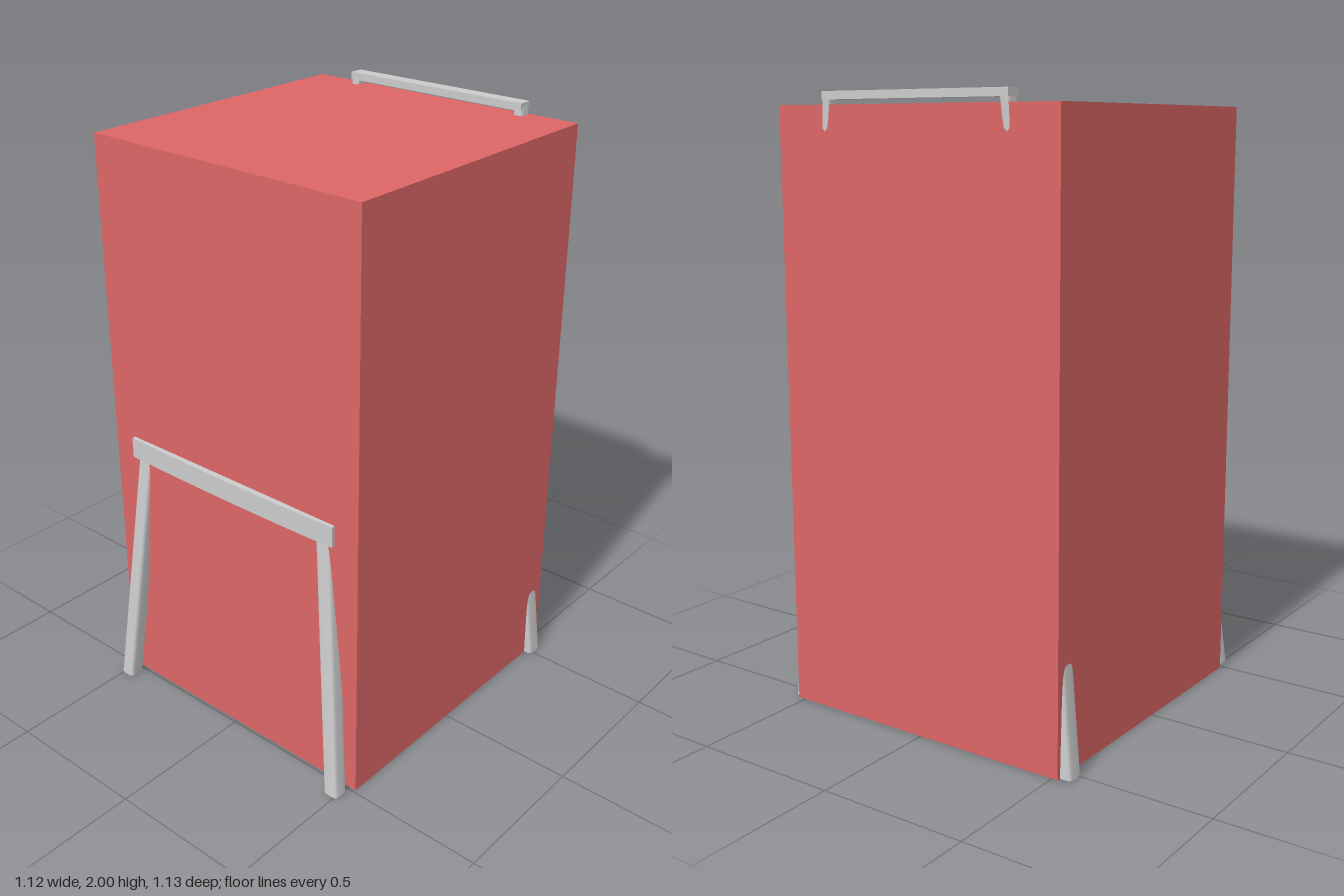
import * as THREE from 'three';

const grey = new THREE.MeshStandardMaterial({ color: 0xcccccc });
const red = new THREE.MeshStandardMaterial({ color: 0xdd6666 });

// Tapered bar with a rounded-square section; each station is [x, y, z, width, depth]
function taperedBar(stations) {
  const n = stations.length - 1;
  const geo = new THREE.CylinderGeometry(1, 1, n, 24, n);
  const pos = geo.attributes.position;
  const soften = (v) => Math.sign(v) * Math.pow(Math.abs(v), 0.45) / 2;
  for (let i = 0; i < pos.count; i++) {
    const [x, y, z, w, d] = stations[Math.round(pos.getY(i) + n / 2)];
    const sx = Math.abs(pos.getX(i)) < 1e-6 ? 0 : soften(pos.getX(i));
    const sz = Math.abs(pos.getZ(i)) < 1e-6 ? 0 : soften(pos.getZ(i));
    pos.setXYZ(i, x + sx * w, y, z + sz * d);
  }
  geo.computeVertexNormals();
  return geo;
}

export function createModel() {
  const model = new THREE.Group();
  const add = (name, geo, material, x = 0, y = 0, z = 0) => {
    const mesh = new THREE.Mesh(geo, material);
    mesh.name = name;
    mesh.position.set(x, y, z);
    model.add(mesh);
    return mesh;
  };

  // Red block enclosing most of the chair
  add('enclosingBlock', new THREE.BoxGeometry(1.05, 1.96, 1.05), red, 0.005, 0.98, -0.035);

  // Splayed front legs and back legs that run on up as backrest posts
  for (const [side, s] of [['left', 1], ['right', -1]]) {
    add(side + 'FrontLeg', taperedBar([
      [s * 0.483, 0, 0.537, 0.055, 0.055],
      [s * 0.39, 0.885, 0.465, 0.056, 0.055],
    ]), grey);
    add(side + 'BackLeg', taperedBar([
      [s * 0.53, 0, -0.516, 0.055, 0.062],
      [s * 0.435, 0.9, -0.488, 0.05, 0.06],
      [s * 0.331, 1.985, -0.541, 0.032, 0.047],
    ]), grey);
  }

  // Seat slab with a slightly bowed front edge
  const outline = new THREE.Shape();
  outline.moveTo(-0.43, -0.503);
  outline.quadraticCurveTo(0.005, -0.517, 0.44, -0.503);
  outline.lineTo(0.43, 0.48);
  outline.lineTo(-0.42, 0.48);
  outline.closePath();
  const seatGeo = new THREE.ExtrudeGeometry(outline, { depth: 0.07, bevelEnabled: false, curveSegments: 16 });
  seatGeo.rotateX(-Math.PI / 2);
  add('seat', seatGeo, grey, 0, 0.885, 0);

  // Top rail joining the backrest posts
  add('topRail', new THREE.BoxGeometry(0.694, 0.025, 0.047), grey, -0.001, 1.9875, -0.541);

  return model;
}
